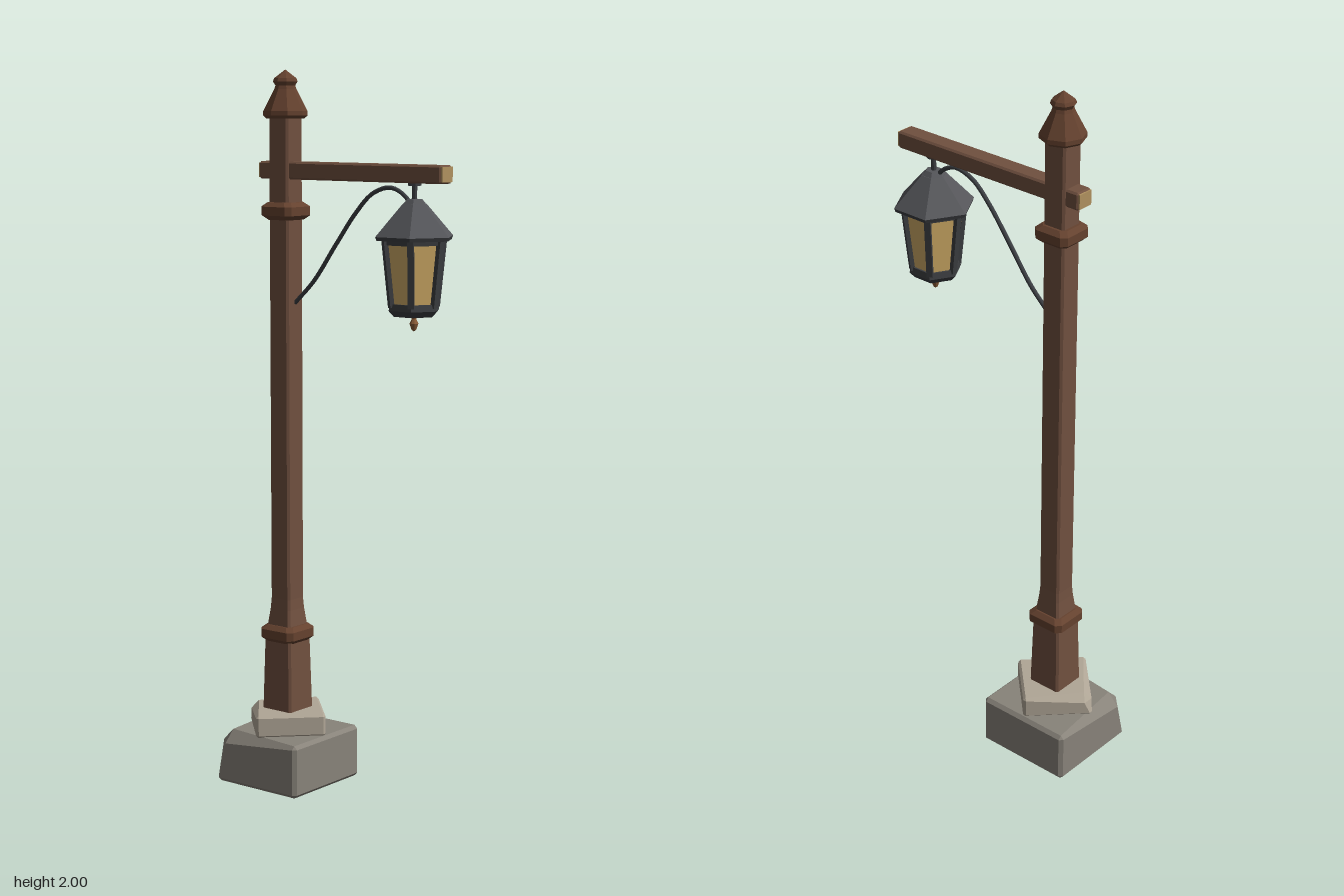
import * as THREE from 'three';
import { ConvexGeometry } from 'three/addons/geometries/ConvexGeometry.js';

const mat = (name, color, extra = {}) => {
  const m = new THREE.MeshStandardMaterial({ color, ...extra });
  m.name = name;
  return m;
};

// Block with bevelled edges and one corner chipped away
function chippedBlock(w, h, d, bevel, chipCorner, chip) {
  const pts = [];
  for (const x of [-1, 1]) for (const y of [-1, 1]) for (const z of [-1, 1]) {
    const chipped = chipCorner && chipCorner[0] === x && chipCorner[1] === y && chipCorner[2] === z;
    const c = chipped ? chip : bevel;
    const X = w / 2, Y = h / 2, Z = d / 2;
    pts.push(
      new THREE.Vector3(x * X, y * (Y - c), z * (Z - c)),
      new THREE.Vector3(x * (X - c), y * Y, z * (Z - c)),
      new THREE.Vector3(x * (X - c), y * (Y - c), z * Z));
  }
  return new ConvexGeometry(pts);
}

// Stacked square sections [y, halfWidth] with chamfered corners
function squareLoft(sections, chamfer) {
  const ring = ([y, h]) => {
    const k = h - chamfer;
    return [[h, -k], [h, k], [k, h], [-k, h], [-h, k], [-h, -k], [-k, -h], [k, -h]].map(([x, z]) => [x, y, z]);
  };
  const rings = sections.map(ring);
  const pos = [];
  const tri = (...p) => p.forEach((v) => pos.push(...v));
  const last = rings.length - 1;
  for (let i = 0; i < 8; i++) {
    const j = (i + 1) % 8;
    for (let r = 0; r < last; r++) {
      const a = rings[r], b = rings[r + 1];
      tri(a[i], b[i], a[j]);
      tri(a[j], b[i], b[j]);
    }
    tri([0, sections[0][0], 0], rings[0][i], rings[0][j]);
    tri([0, sections[last][0], 0], rings[last][j], rings[last][i]);
  }
  const g = new THREE.BufferGeometry();
  g.setAttribute('position', new THREE.Float32BufferAttribute(pos, 3));
  g.computeVertexNormals();
  return g;
}

export function createModel() {
  const model = new THREE.Group();
  model.name = 'streetLantern';

  const stone = mat('dark stone', 0x88837a, { flatShading: true });
  const paleStone = mat('pale stone', 0xb0a696, { flatShading: true });
  const wood = mat('wood', 0x70503f, { flatShading: true });
  const darkWood = mat('dark wood', 0x65422f, { flatShading: true });
  const endGrain = mat('end grain', 0xb0915f, { flatShading: true });
  const roofMetal = mat('roof metal', 0x55565a, { flatShading: true });
  const iron = mat('iron', 0x3c3e41, { flatShading: true });
  const cableMat = mat('cable', 0x3c3f43);
  const glass = mat('amber glass', 0xcfab66, { flatShading: true });
  const copper = mat('copper', 0x8a5c38, { flatShading: true });

  const add = (name, geo, material, parent, x = 0, y = 0, z = 0) => {
    const m = new THREE.Mesh(geo, material);
    m.name = name;
    m.position.set(x, y, z);
    parent.add(m);
    return m;
  };

  // Post assembly stands towards the back
  const post = new THREE.Group();
  post.name = 'postAssembly';
  post.position.z = -0.2;
  model.add(post);

  // Stone footing and diagonal plinth
  add('footing', chippedBlock(0.29, 0.15, 0.29, 0.01, [-1, 1, -1], 0.035), stone, post, 0, 0.075, 0);
  const plinth = add('plinth', chippedBlock(0.196, 0.064, 0.196, 0.007, [1, 1, -1], 0.022), paleStone, post, 0, 0.179, 0);
  plinth.rotation.y = Math.PI / 4;

  // Post with flared foot
  add('post', squareLoft([[0.2, 0.052], [0.41, 0.047], [0.5, 0.036], [0.53, 0.034], [1.88, 0.034]], 0.006), wood, post);

  // Collars
  for (const [name, y, r] of [['lowerCollar', 0.43, 0.059], ['upperCollar', 1.617, 0.054]]) {
    add(name, squareLoft([[-0.024, r - 0.013], [-0.012, r], [0.012, r], [0.024, r - 0.013]], 0.014), darkWood, post, 0, y, 0);
  }

  // Octagonal finial
  const finialProfile = [[0, 1.868], [0.052, 1.868], [0.061, 1.876], [0.061, 1.888], [0.03, 1.948],
    [0.027, 1.957], [0.034, 1.968], [0.03, 1.977], [0, 2]].map(([x, y]) => new THREE.Vector2(x, y));
  add('finial', new THREE.LatheGeometry(finialProfile, 8), darkWood, post);

  // Arm through the post, with pale end grain plates
  add('arm', chippedBlock(0.054, 0.048, 0.616, 0.005), wood, model, 0, 1.728, 0.035);
  for (const [name, z] of [['armEndFront', 0.343], ['armEndBack', -0.273]]) {
    add(name, new THREE.BoxGeometry(0.046, 0.04, 0.006), endGrain, model, 0, 1.728, z);
  }

  // Hanging lantern, hexagonal with a corner facing the front
  const lantern = new THREE.Group();
  lantern.name = 'lantern';
  lantern.position.z = 0.24;
  model.add(lantern);

  const hex = (top, bottom, h) => new THREE.CylinderGeometry(top, bottom, h, 6);
  add('hook', new THREE.CylinderGeometry(0.007, 0.007, 0.07, 8), iron, lantern, 0, 1.675, 0);
  add('hookPlate', new THREE.CylinderGeometry(0.018, 0.018, 0.008, 8), iron, lantern, 0, 1.701, 0);
  add('roofCap', hex(0.022, 0.034, 0.014), roofMetal, lantern, 0, 1.655, 0);
  add('roof', hex(0.034, 0.112, 0.085), roofMetal, lantern, 0, 1.6075, 0);
  add('roofRim', hex(0.112, 0.108, 0.01), iron, lantern, 0, 1.56, 0);
  add('glassBody', hex(0.083, 0.063, 0.18), glass, lantern, 0, 1.468, 0);
  add('topRail', hex(0.089, 0.087, 0.016), iron, lantern, 0, 1.551, 0);
  add('bottomRail', hex(0.07, 0.073, 0.018), iron, lantern, 0, 1.379, 0);
  add('bottomPlate', hex(0.073, 0.058, 0.016), iron, lantern, 0, 1.362, 0);

  // Corner bars following the taper of the glass
  for (let i = 0; i < 6; i++) {
    const corner = new THREE.Group();
    corner.name = 'cornerBar';
    corner.rotation.y = (i * Math.PI) / 3;
    const bar = add('bar', new THREE.BoxGeometry(0.017, 0.178, 0.012), iron, corner, 0, 1.467, 0.075);
    bar.rotation.x = Math.atan2(0.02, 0.18);
    lantern.add(corner);
  }

  // Drop finial below the lantern
  const dropProfile = [[0, 1.313], [0.006, 1.317], [0.012, 1.334], [0.006, 1.346], [0.009, 1.357]]
    .map(([x, y]) => new THREE.Vector2(x, y));
  add('dropFinial', new THREE.LatheGeometry(dropProfile, 8), copper, lantern);

  // Cable sweeping from the lantern to the post
  const path = new THREE.CatmullRomCurve3(
    [[1.645, 0.23], [1.672, 0.205], [1.69, 0.16], [1.672, 0.1], [1.62, 0.045], [1.53, -0.025], [1.43, -0.1], [1.365, -0.168]]
      .map(([y, z]) => new THREE.Vector3(0, y, z)));
  add('cable', new THREE.TubeGeometry(path, 40, 0.006, 8), cableMat, model);

  return model;
}
